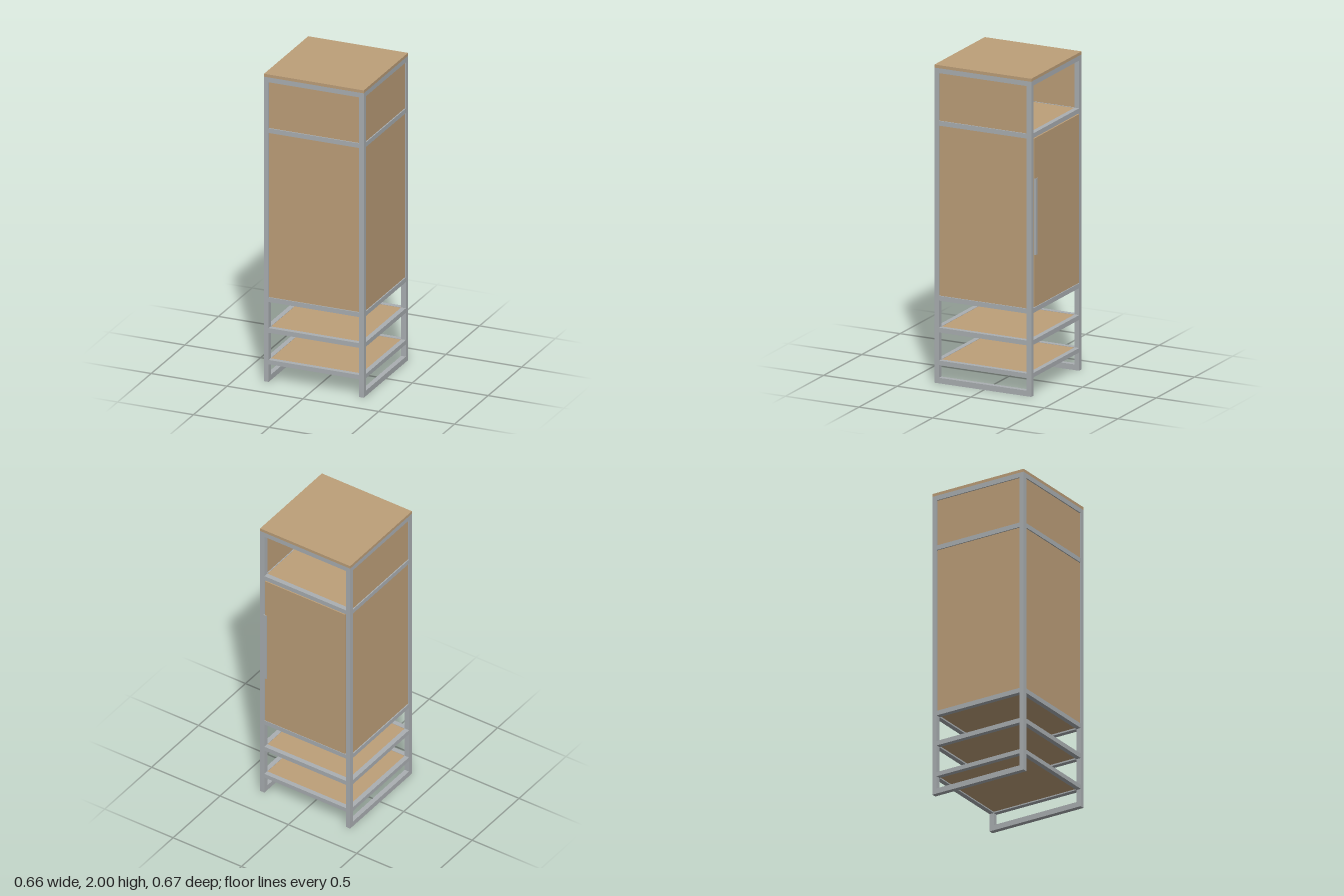
import * as THREE from 'three';

export function createModel() {
  const model = new THREE.Group();
  model.name = 'cabinet';
  const wood = new THREE.MeshStandardMaterial({ color: 0xbd9f79 });
  wood.name = 'wood';
  const steel = new THREE.MeshStandardMaterial({ color: 0xaaafb2 });
  steel.name = 'steel';

  // Box given by its low and high limits on each axis
  function box(name, material, [x0, x1], [y0, y1], [z0, z1]) {
    const mesh = new THREE.Mesh(new THREE.BoxGeometry(x1 - x0, y1 - y0, z1 - z0), material);
    mesh.position.set((x0 + x1) / 2, (y0 + y1) / 2, (z0 + z1) / 2);
    mesh.name = name;
    model.add(mesh);
  }

  const X = 0.329, BACK = -0.322, FRONT = 0.336; // outer limits of the frame
  const T = 0.031;                               // steel tube thickness
  const TOP = 1.981;
  const innerX = [-X + T, X - T], innerZ = [BACK + T, FRONT - T];
  const sideSpan = (s, a, b) => (s > 0 ? [X - b, X - a] : [-X + a, -X + b]);

  // Corner posts and floor runners
  for (const s of [-1, 1]) {
    box('backPost', steel, sideSpan(s, 0, T), [0, TOP], [BACK, BACK + T]);
    box('frontPost', steel, sideSpan(s, 0, T), [0, TOP], [FRONT - T, FRONT]);
    box('floorRunner', steel, sideSpan(s, 0, T), [0, 0.035], innerZ);
  }

  // Rails around the frame at every level
  const levels = [[0.115, 0.143], [0.32, 0.35], [0.52, 0.55], [1.62, 1.65], [1.95, TOP]];
  for (const y of levels) {
    box('backRail', steel, innerX, y, [BACK, BACK + T]);
    box('frontRail', steel, innerX, y, [FRONT - T, FRONT]);
    for (const s of [-1, 1]) box('sideRail', steel, sideSpan(s, 0, T), y, innerZ);
  }

  // Shelves set within the rails
  for (const [, y] of levels.slice(0, 4)) {
    box('shelf', wood, innerX, [y - 0.02, y - 0.002], innerZ);
  }

  // Top board
  box('topBoard', wood, [-X, X], [TOP, 2], [BACK, FRONT]);

  // Side and front panels of both compartments
  for (const y of [[0.55, 1.62], [1.65, 1.95]]) {
    box('frontPanel', wood, innerX, y, [FRONT - 0.025, FRONT - 0.007]);
    for (const s of [-1, 1]) box('sidePanel', wood, sideSpan(s, 0.007, 0.025), y, innerZ);
  }

  // Door with a narrow gap, and its angled handle
  box('door', wood, [-0.293, 0.293], [0.555, 1.615], [BACK - 0.002, BACK + 0.018]);
  const handleY = [0.885, 1.365];
  box('handleWeb', steel, [0.291, 0.295], handleY, [-0.336, BACK - 0.001]);
  box('handleLip', steel, [0.273, 0.291], handleY, [-0.336, -0.332]);

  return model;
}
